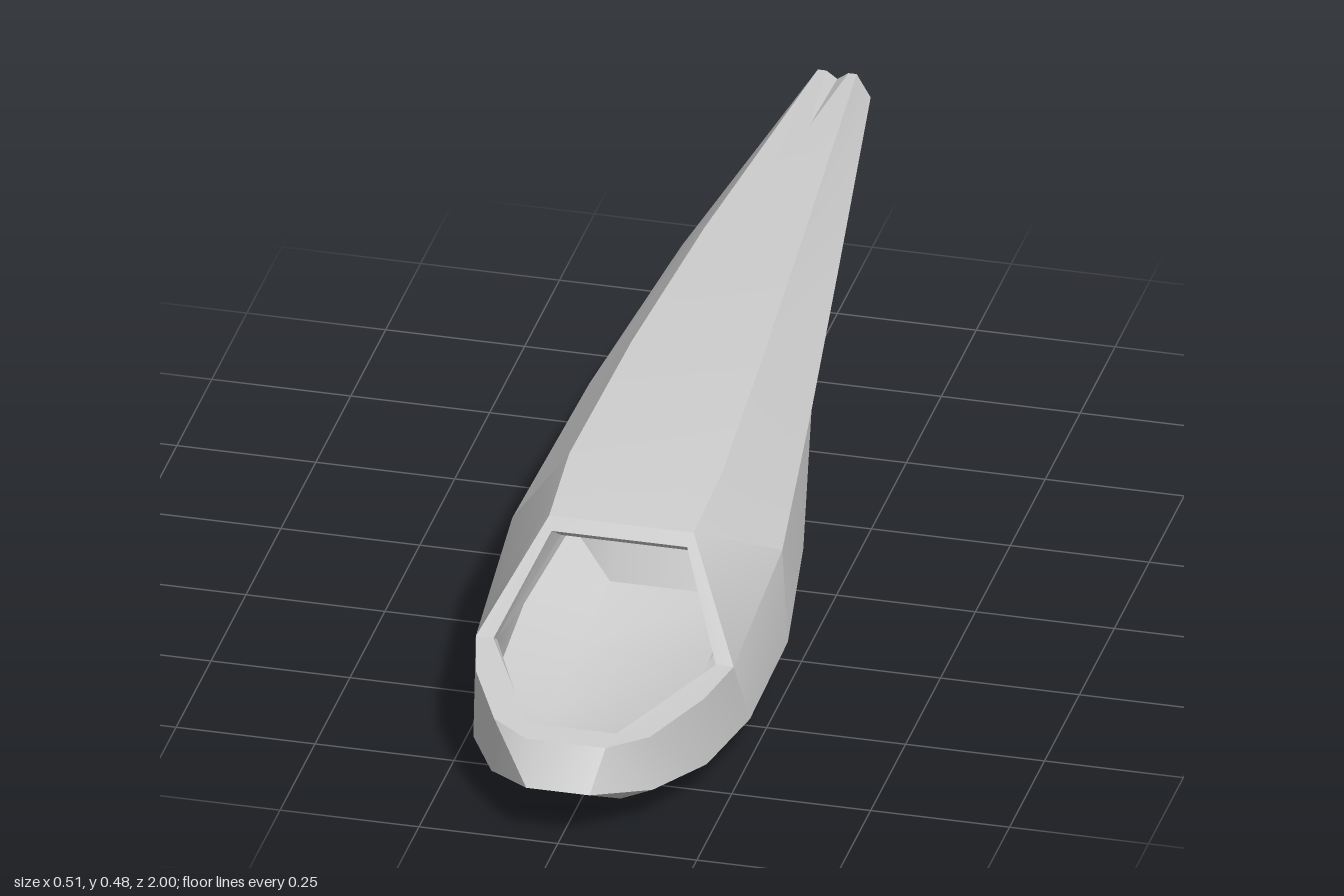
import * as THREE from 'three';
import { toCreasedNormals } from 'three/addons/utils/BufferGeometryUtils.js';

const mirror = ([x, y, z]) => [-x, y, z];

// Collects polygons as triangle fans and turns them into one mesh
function makeShell(name) {
  const pos = [];
  const poly = (...p) => {
    for (let i = 1; i < p.length - 1; i++) pos.push(...p[0], ...p[i], ...p[i + 1]);
  };
  const pair = (...p) => {
    poly(...p);
    poly(...p.map(mirror).reverse());
  };
  // Panels between an upper line a and a lower line b, both running front to back
  const strip = (a, b, add = pair) => {
    for (let i = 0; i < a.length - 1; i++) add(a[i], b[i], b[i + 1], a[i + 1]);
  };
  const mesh = (side = THREE.FrontSide) => {
    const g = new THREE.BufferGeometry();
    g.setAttribute('position', new THREE.Float32BufferAttribute(pos, 3));
    const m = new THREE.Mesh(toCreasedNormals(g, 0.55),
      new THREE.MeshStandardMaterial({ color: 0xcccccc, side }));
    m.name = name;
    return m;
  };
  return { poly, pair, strip, mesh };
}

export function createModel() {
  const group = new THREE.Group();
  group.name = 'helicopterFuselage';

  // Long edges of the left half, nose to tail: keel, chine, shoulder, roof
  const keel = [[0.057, 0.103, 1], [0.083, 0.037, 0.88], [0.11, 0.012, 0.77],
    [0.138, 0, 0.6], [0.14, 0.018, 0.38], [0.132, 0.055, 0.165]];
  const chine = [[0.057, 0.103, 1], [0.145, 0.073, 0.9], [0.21, 0.064, 0.77],
    [0.245, 0.069, 0.6], [0.253, 0.097, 0.36], [0.218, 0.147, 0.11]];
  const shoulder = [[0.072, 0.17, 0.945], [0.14, 0.177, 0.9], [0.205, 0.193, 0.77],
    [0.232, 0.205, 0.665], [0.243, 0.278, 0.36], [0.2, 0.35, -0.02],
    [0.142, 0.405, -0.45], [0.06, 0.437, -1]];
  const roof = [[0.13, 0.395, 0.545], [0.138, 0.425, 0.37], [0.118, 0.457, 0],
    [0.088, 0.475, -0.4], [0.035, 0.48, -1]];

  // Cabin hull: nose face, flanks, belly, roof and raked rear bulkhead
  const hull = makeShell('cabinHull');
  hull.poly(mirror(chine[0]), chine[0], shoulder[0], mirror(shoulder[0]));
  hull.strip(shoulder.slice(0, 6), chine);
  hull.strip(chine, keel);
  hull.strip(keel, keel.map(mirror), hull.poly);
  const rear = [shoulder[5], chine[5], keel[5]];
  hull.poly(...rear, ...rear.map(mirror).reverse());

  // Upper flanks and roof run on without a break into the tail boom
  hull.strip(roof, shoulder.slice(3));
  hull.strip(roof.slice(0, 4).map(mirror), roof.slice(0, 4), hull.poly);
  const tailUnder = shoulder.slice(5);
  hull.strip(tailUnder, tailUnder.map(mirror), hull.poly);

  // Tail tip with a narrow tapering groove in its top
  const apex = [0, 0.478, -0.8], lip = [0.02, 0.48, -1], dip = [0, 0.466, -1];
  const [r6, r7] = roof.slice(3), s7 = shoulder[7];
  hull.poly(apex, mirror(lip), mirror(r7), mirror(r6), r6, r7, lip);
  hull.pair(apex, lip, dip);
  hull.poly(dip, lip, r7, s7, mirror(s7), mirror(r7), mirror(lip));
  group.add(hull.mesh());

  // Flat frame around the cockpit opening
  const sill = [0.08, 0.176, 0.9], corner = [0.2, 0.205, 0.665], head = [0.122, 0.373, 0.56];
  const frame = makeShell('cockpitFrame');
  frame.poly(mirror(shoulder[0]), shoulder[0], sill, mirror(sill));
  frame.pair(...shoulder.slice(0, 4), corner, sill);
  frame.pair(shoulder[3], roof[0], head, corner);
  frame.poly(roof[0], mirror(roof[0]), mirror(head), head);
  group.add(frame.mesh());

  // Hollow interior, a little inside the hull
  const inKeel = [[0.05, 0.1, 0.92], [0.07, 0.065, 0.86], [0.095, 0.04, 0.77],
    [0.115, 0.03, 0.6], [0.115, 0.047, 0.38], [0.11, 0.08, 0.19]];
  const inChine = [[0.05, 0.1, 0.92], [0.115, 0.085, 0.87], [0.18, 0.078, 0.77],
    [0.215, 0.085, 0.6], [0.222, 0.11, 0.36], [0.19, 0.155, 0.14]];
  const inShoulder = [[0.08, 0.15, 0.89], [0.115, 0.152, 0.87], [0.175, 0.168, 0.77],
    [0.2, 0.19, 0.64], [0.213, 0.272, 0.36], [0.175, 0.33, 0.04]];
  const inRoof = [[0.115, 0.345, 0.52], [0.12, 0.39, 0.37], [0.105, 0.425, 0.05]];
  const inside = makeShell('cockpitInterior');
  // Reversed strips face into the cabin
  const inward = (...p) => inside.pair(...p.reverse());
  const inwardFlat = (...p) => inside.poly(...p.reverse());
  inside.strip(inRoof, inShoulder.slice(3), inward);
  inside.strip(inShoulder, inChine, inward);
  inside.strip(inChine, inKeel, inward);
  inside.strip(inKeel, inKeel.map(mirror), inwardFlat);
  inside.strip(inRoof.map(mirror), inRoof, inwardFlat);
  inwardFlat(mirror(inChine[0]), inChine[0], inShoulder[0], mirror(inShoulder[0]));
  const back = [inRoof[2], inShoulder[5], inChine[5], inKeel[5]];
  inwardFlat(...back, ...back.map(mirror).reverse());
  // Reveal between the frame and the interior
  inside.pair(sill, corner, ...inShoulder.slice(0, 4).reverse());
  inside.pair(corner, head, inRoof[0], inShoulder[3]);
  inside.poly(head, mirror(head), mirror(inRoof[0]), inRoof[0]);
  inside.poly(mirror(sill), sill, inShoulder[0], mirror(inShoulder[0]));
  group.add(inside.mesh(THREE.DoubleSide));

  return group;
}
